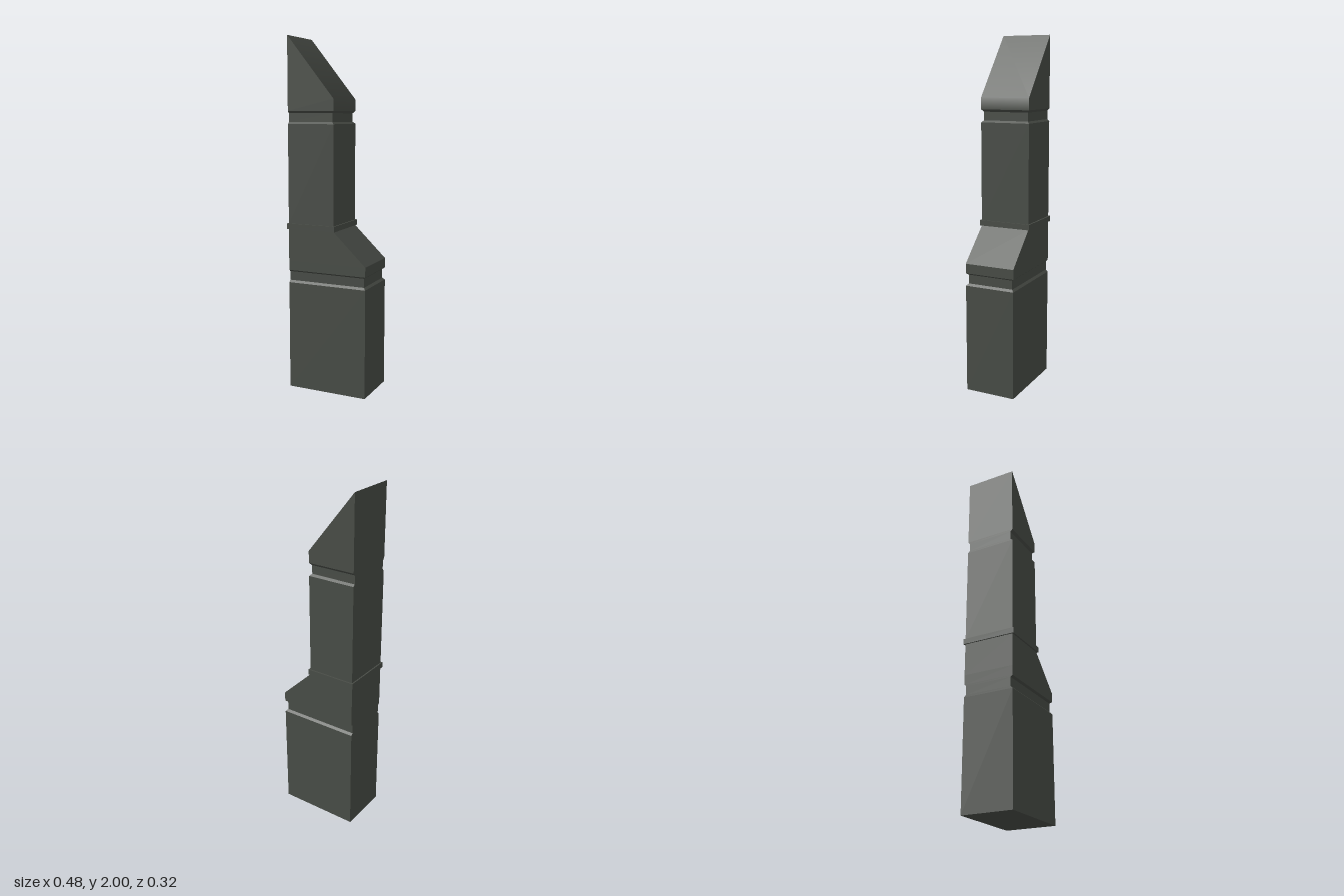
import * as THREE from 'three';
import { toCreasedNormals } from 'three/addons/utils/BufferGeometryUtils.js';

const BACK = -0.2325;   // flush straight side shared by every section
const WIDE = 0.2375;    // far side of the wide base
const NARROW = 0.0465;  // far side of the narrow tower
const DEPTH = 0.147;    // half depth
const INSET = 0.012;    // groove depth

// Lofts rectangular rings, each [right x, half depth, right y, left y], into a closed solid
function loft(rings, x0 = BACK) {
  const pos = [], idx = [];
  for (const [x1, d, y, yLeft = y] of rings) {
    pos.push(x0, yLeft, d, x1, y, d, x1, y, -d, x0, yLeft, -d);
  }
  const quad = (a, b, c, d) => idx.push(a, b, c, a, c, d);
  for (let r = 0; r < rings.length - 1; r++) {
    for (let i = 0; i < 4; i++) {
      const a = r * 4 + i, b = r * 4 + (i + 1) % 4;
      quad(a, b, b + 4, a + 4);
    }
  }
  const t = (rings.length - 1) * 4;
  quad(3, 2, 1, 0);
  quad(t, t + 1, t + 2, t + 3);
  const geo = new THREE.BufferGeometry();
  geo.setAttribute('position', new THREE.Float32BufferAttribute(pos, 3));
  geo.setIndex(idx);
  return toCreasedNormals(geo, 0.7);
}

export function createModel() {
  const group = new THREE.Group();
  group.name = 'ventStack';
  const metal = new THREE.MeshStandardMaterial({ color: 0x484c46 });
  metal.name = 'darkGreyGreen';

  const add = (name, rings, x0) => {
    const mesh = new THREE.Mesh(loft(rings, x0), metal);
    mesh.name = name;
    group.add(mesh);
  };
  const inD = DEPTH - INSET;

  // Wide base with a small chamfer leading into its groove
  add('base', [
    [WIDE, DEPTH, 0], [WIDE, DEPTH, 0.62], [WIDE - INSET, inD, 0.632],
  ]);
  add('lowerNeck', [[WIDE - INSET, inD, 0.632], [WIDE - INSET, inD, 0.683]]);

  // Sloping shoulder from the base to the tower
  add('shoulder', [
    [WIDE - INSET, inD, 0.683], [WIDE, DEPTH, 0.692],
    [WIDE, DEPTH, 0.747], [NARROW, DEPTH, 0.93],
  ]);

  // Projecting band round the foot of the tower
  add('collar', [[0.0555, 0.156, 0.93], [0.0555, 0.156, 0.961]], -0.24);

  // Narrow tower and upper groove
  add('tower', [
    [NARROW, DEPTH, 0.961], [NARROW, DEPTH, 1.518], [NARROW - INSET, inD, 1.529],
  ]);
  add('upperNeck', [[NARROW - INSET, inD, 1.529], [NARROW - INSET, inD, 1.577]]);

  // Slanted hood
  add('hood', [
    [NARROW - INSET, inD, 1.577], [NARROW, DEPTH, 1.59], [NARROW, DEPTH, 1.655, 2],
  ]);

  // The whole stack is turned by about one degree
  group.rotation.y = -0.017;
  return group;
}
